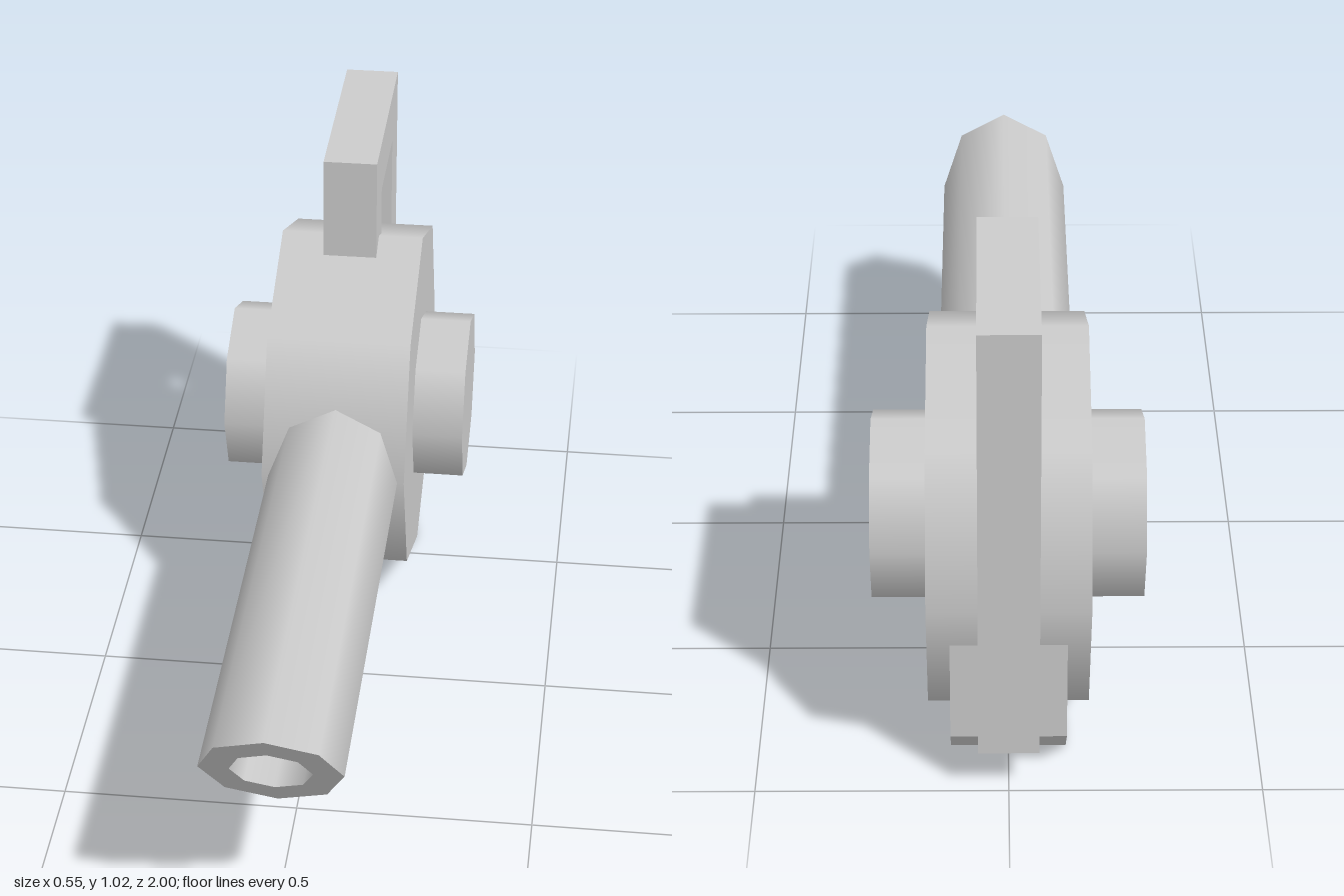
import * as THREE from 'three';

const AXLE_Y = 0.405, AXLE_Z = -0.575;

export function createModel() {
  const model = new THREE.Group();
  const grey = new THREE.MeshStandardMaterial({ color: 0xcccccc, side: THREE.DoubleSide });
  grey.name = 'grey';

  const add = (name, geometry, parent = model) => {
    const mesh = new THREE.Mesh(geometry, grey);
    mesh.name = name;
    parent.add(mesh);
    return mesh;
  };

  // Octagonal wheel lying across x
  const wheel = (name, radius, width) => {
    const g = new THREE.CylinderGeometry(radius, radius, width, 8).rotateZ(Math.PI / 2);
    add(name, g).position.set(0, AXLE_Y, AXLE_Z);
  };

  // Side profile given as [backward, up] pairs, extruded across x
  const sidePlate = (name, points, width) => {
    const shape = new THREE.Shape(points.map(([u, v]) => new THREE.Vector2(u, v)));
    const g = new THREE.ExtrudeGeometry(shape, { depth: width, bevelEnabled: false });
    add(name, g.translate(0, 0, -width / 2).rotateY(Math.PI / 2));
  };

  // Drum body and hub
  wheel('drum', 0.405, 0.32);
  wheel('hub', 0.195, 0.548);

  // Hooked handle running down the back of the drum
  sidePlate('handle', [
    [0.515, 0.785], [0.63, 0.785], [0.63, 0.9], [0.88, 0.9],
    [0.88, 0.09], [1, 0.09], [1, 1.02], [0.515, 1.02],
  ], 0.12);

  // Chamfered foot under the back of the drum
  sidePlate('foot', [
    [0.575, 0.005], [0.855, 0.005], [0.937, 0.085], [0.937, 0.315], [0.575, 0.315],
  ], 0.23);

  // Hollow barrel with a slanted muzzle
  const barrel = new THREE.Group();
  barrel.name = 'barrel';
  barrel.position.y = AXLE_Y;
  model.add(barrel);
  const slant = (geometry, z, isEnd = () => true) => {
    const p = geometry.attributes.position;
    for (let i = 0; i < p.count; i++) {
      if (isEnd(p.getZ(i))) p.setZ(i, z + p.getY(i) * 0.69);
    }
    return geometry;
  };
  const tube = (radius) =>
    new THREE.CylinderGeometry(radius, radius, 1, 8, 1, true).rotateX(Math.PI / 2);

  const outer = slant(tube(0.145), 0.9, (z) => z > 0);
  add('barrelWall', outer, barrel);
  const bore = slant(slant(tube(0.083), 0.9, (z) => z > 0.4), 0.6, (z) => z < -0.4);
  add('bore', bore, barrel);

  const rim = slant(new THREE.RingGeometry(0.083, 0.145, 8), 0.9);
  rim.computeVertexNormals();
  add('muzzleRim', rim, barrel);
  const floor = slant(new THREE.CircleGeometry(0.083, 8), 0.6);
  floor.computeVertexNormals();
  add('boreFloor', floor, barrel);

  return model;
}
